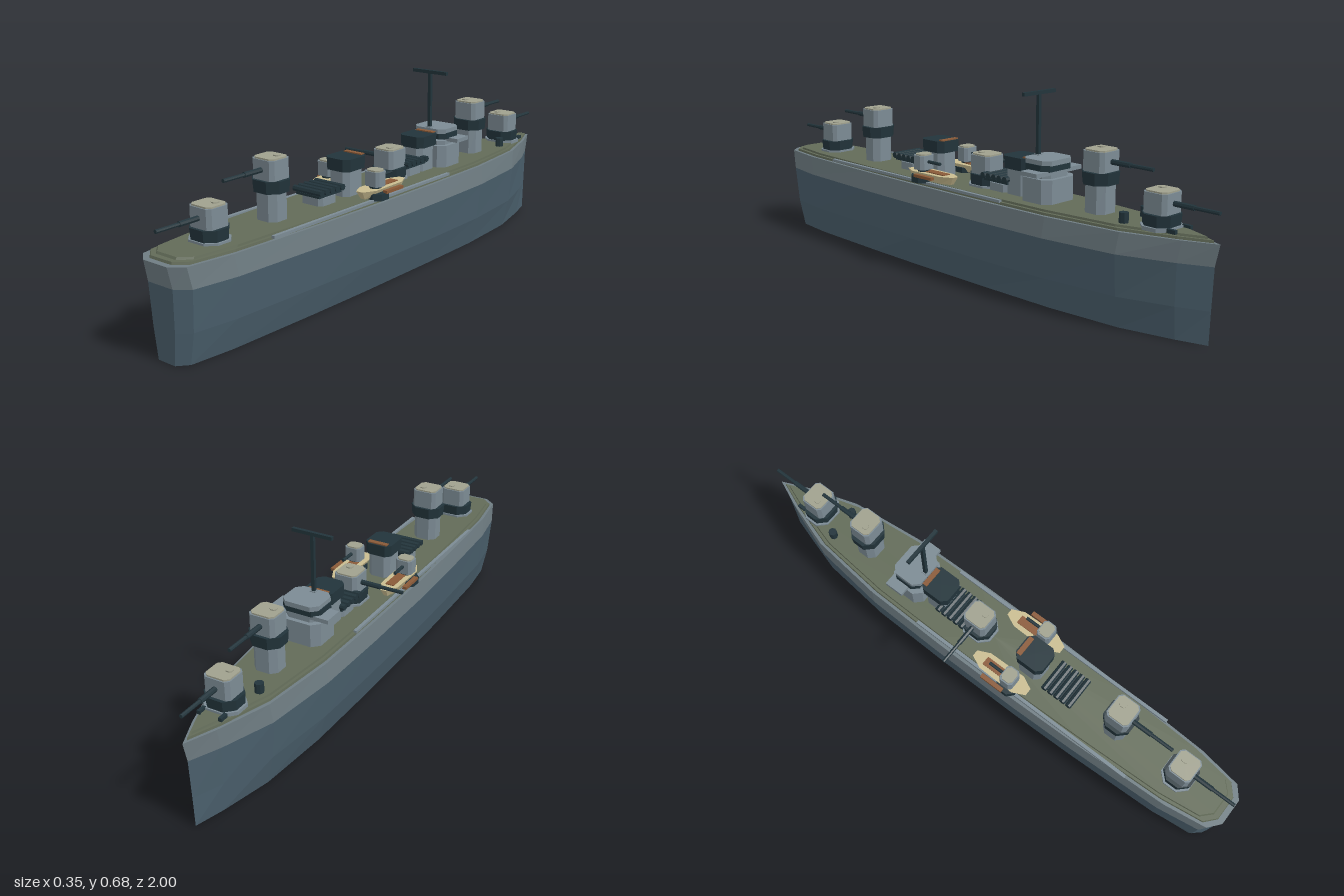
import * as THREE from 'three';

const mat = (name, color) => {
  const m = new THREE.MeshStandardMaterial({ color, flatShading: true });
  m.name = name;
  return m;
};
const M = {
  lower: mat('slate hull', 0x4a5f6c), upper: mat('hull band grey', 0x6f7d83),
  deck: mat('deck olive', 0x626b58), grey: mat('superstructure grey', 0x7c8b94),
  dark: mat('dark fittings', 0x22343b), roof: mat('turret roof', 0xa0a18e),
  sand: mat('boat sand', 0xc9bc90), brown: mat('wood brown', 0x8a5a38),
};

function add(parent, name, geo, material, x = 0, y = 0, z = 0) {
  const m = new THREE.Mesh(geo, material);
  m.name = name;
  m.position.set(x, y, z);
  parent.add(m);
  return m;
}
function group(parent, name, x = 0, y = 0, z = 0, turn = 0) {
  const g = new THREE.Group();
  g.name = name;
  g.position.set(x, y, z);
  g.rotation.y = turn;
  parent.add(g);
  return g;
}

// Stack of closed plan loops joined into a solid; levels are [y, scaleX, scaleZ]
function loft(half, levels) {
  const loop = [...half, ...half.slice().reverse().filter(p => p[0] > 0).map(p => [-p[0], p[1]])];
  const n = loop.length, pos = [], idx = [];
  for (const [y, sx, sz] of levels) for (const [x, z] of loop) pos.push(x * sx, y, z * sz);
  for (let l = 0; l < levels.length - 1; l++) for (let i = 0; i < n; i++) {
    const j = (i + 1) % n, a = l * n + i, b = l * n + j, c = a + n, d = b + n;
    idx.push(a, c, b, b, c, d);
  }
  const top = (levels.length - 1) * n, mid = pos.length / 3;
  pos.push(0, levels[0][0], 0, 0, levels.at(-1)[0], 0);
  for (let i = 0; i < n; i++) {
    const j = (i + 1) % n;
    idx.push(mid, i, j, mid + 1, top + j, top + i);
  }
  const g = new THREE.BufferGeometry();
  g.setAttribute('position', new THREE.Float32BufferAttribute(pos, 3));
  g.setIndex(idx);
  const flat = g.toNonIndexed();
  flat.computeVertexNormals();
  return flat;
}

// Box with chamfered upright edges, standing on y = 0
function block(w, h, d, c = 0.012, taper = 1) {
  const x = w / 2, z = d / 2;
  return loft([[x - c, -z], [x, -z + c], [x, z - c], [x - c, z]], [[0, 1, 1], [h, taper, taper]]);
}
const box = (w, h, d) => new THREE.BoxGeometry(w, h, d).translate(0, h / 2, 0);
function barrel(r, length) {
  return new THREE.CylinderGeometry(r, r, length, 8).rotateX(Math.PI / 2).translate(0, 0, length / 2);
}

// Gun house pointing along local +z
function turret(parent, name, z, turn, raised) {
  const g = group(parent, name, 0, 0.32, z, turn);
  const lift = raised ? 0.088 : 0;
  if (raised) add(g, 'pedestal', block(0.088, 0.1, 0.082, 0.02), M.grey);
  else add(g, 'footPlate', block(0.125, 0.012, 0.11, 0.03), M.grey);
  add(g, 'ring', block(0.11, 0.04, 0.1, 0.028, 1.06), M.dark, 0, lift + 0.008);
  add(g, 'gunHouse', block(0.092, 0.066, 0.086), M.grey, 0, lift + 0.046);
  add(g, 'roofPlate', block(0.084, 0.007, 0.078), M.roof, 0, lift + 0.11);
  add(g, 'hatch', block(0.022, 0.005, 0.022, 0.005), M.roof, 0.015, lift + 0.116, -0.012);
  add(g, 'barrelSleeve', barrel(0.009, 0.085), M.dark, 0, lift + 0.08, 0.03);
  add(g, 'barrel', barrel(0.0065, 0.17), M.dark, 0, lift + 0.08, 0.03);
}

function funnel(parent, name, z) {
  const g = group(parent, name, 0, 0.32, z);
  add(g, 'trunk', block(0.085, 0.1, 0.095, 0.018), M.grey);
  add(g, 'cap', block(0.1, 0.042, 0.11, 0.018, 1.03), M.dark, 0, 0.092);
  add(g, 'capEdge', box(0.075, 0.004, 0.018), M.brown, 0, 0.134, -0.042);
}

// Five crosswise tubes on a grey stand
function tubeBank(parent, name, z) {
  const g = group(parent, name, 0, 0.32, z);
  add(g, 'stand', block(0.09, 0.032, 0.085), M.grey);
  add(g, 'cradle', box(0.1, 0.008, 0.11), M.dark, 0, 0.036);
  for (let i = -2; i <= 2; i++) {
    const t = add(g, 'tube', new THREE.CylinderGeometry(0.011, 0.011, 0.12, 8), M.dark, 0, 0.054, i * 0.0255);
    t.rotation.z = Math.PI / 2;
  }
}

export function createModel() {
  const root = new THREE.Group();
  root.name = 'warship';
  const ship = group(root, 'ship', 0.023);

  // Hull: half plan from bow to stern
  const plan = [[0, -1], [0.045, -0.9], [0.107, -0.72], [0.138, -0.45], [0.144, -0.15],
    [0.144, 0.2], [0.138, 0.45], [0.122, 0.8], [0.097, 0.955], [0.052, 0.99]];
  add(ship, 'lowerHull', loft(plan, [[0, 0.67, 0.982], [0.105, 0.89, 0.985], [0.24, 1, 0.99]]), M.lower);
  add(ship, 'upperHull', loft(plan, [[0.24, 1, 0.99], [0.31, 0.955, 1.005]]), M.upper);
  add(ship, 'deckEdge', loft(plan, [[0.309, 0.88, 0.985], [0.318, 0.87, 0.982]]), M.deck);
  add(ship, 'deck', loft(plan, [[0.317, 0.8, 0.965], [0.325, 0.79, 0.96]]), M.deck);

  // Main guns
  turret(ship, 'bowTurret', -0.8, Math.PI, false);
  turret(ship, 'raisedBowTurret', -0.565, Math.PI, true);
  turret(ship, 'midTurret', -0.065, -Math.PI / 2, false);
  turret(ship, 'raisedSternTurret', 0.527, 0, true);
  turret(ship, 'sternTurret', 0.787, 0, false);

  funnel(ship, 'forwardFunnel', -0.235);
  funnel(ship, 'aftFunnel', 0.172);
  tubeBank(ship, 'forwardTubes', -0.155);
  tubeBank(ship, 'aftTubes', 0.308);

  // Bridge
  const bridge = group(ship, 'bridge', 0, 0.32, -0.345);
  add(bridge, 'deckHouse', block(0.15, 0.085, 0.13, 0.025), M.grey);
  add(bridge, 'bridgeWings', box(0.215, 0.014, 0.07), M.grey, 0, 0.097, -0.015);
  add(bridge, 'wingSupport', block(0.12, 0.02, 0.1, 0.02), M.grey, 0, 0.08);
  add(bridge, 'windowBand', block(0.142, 0.022, 0.108, 0.022), M.dark, 0, 0.108);
  add(bridge, 'bridgeRoof', block(0.135, 0.017, 0.115, 0.022), M.grey, 0, 0.128);

  // Mast and yard
  add(ship, 'mastFoot', box(0.02, 0.008, 0.02), M.grey, 0, 0.46, -0.302);
  add(ship, 'mast', box(0.012, 0.335, 0.012), M.dark, 0, 0.33, -0.302);
  add(ship, 'yard', box(0.147, 0.012, 0.012), M.dark, 0, 0.663, -0.302);

  // Parts carried on both sides
  const boat = [[0.012, -0.115], [0.033, -0.07], [0.036, 0.07], [0.014, 0.115]];
  for (const s of [-1, 1]) {
    add(ship, 'sideWalk', box(0.012, 0.009, 0.9), M.grey, s * 0.122, 0.316, 0.2);
    const b = group(ship, 'boat', s * 0.097, 0.32, 0.105);
    add(b, 'boatHull', loft(boat, [[0.008, 0.6, 0.85], [0.036, 1, 1]]), M.sand);
    add(b, 'boatWell', box(0.032, 0.005, 0.1), M.brown, 0, 0.034, -0.02);
    add(b, 'davit', box(0.016, 0.01, 0.09), M.brown, s * 0.048, 0.022, -0.005);

    const g = group(ship, 'sideGun', s * 0.104, 0.32, 0.145, Math.PI);
    add(g, 'mount', block(0.086, 0.024, 0.08, 0.022), M.dark);
    add(g, 'mountPost', block(0.04, 0.03, 0.04), M.dark, 0, 0.02);
    add(g, 'gunHouse', block(0.062, 0.05, 0.052, 0.01), M.grey, 0, 0.044);
    add(g, 'roofPlate', block(0.052, 0.006, 0.044, 0.01), M.roof, 0, 0.093);
    add(g, 'barrel', barrel(0.006, 0.085), M.dark, 0, 0.072, 0);

    // Foredeck fittings
    add(ship, 'capstan', new THREE.CylinderGeometry(0.015, 0.015, 0.035, 8), M.dark, s * 0.052, 0.34, -0.7);
    add(ship, 'bollard', box(0.012, 0.012, 0.03), M.dark, s * 0.038, 0.322, -0.865);
  }
  return root;
}
